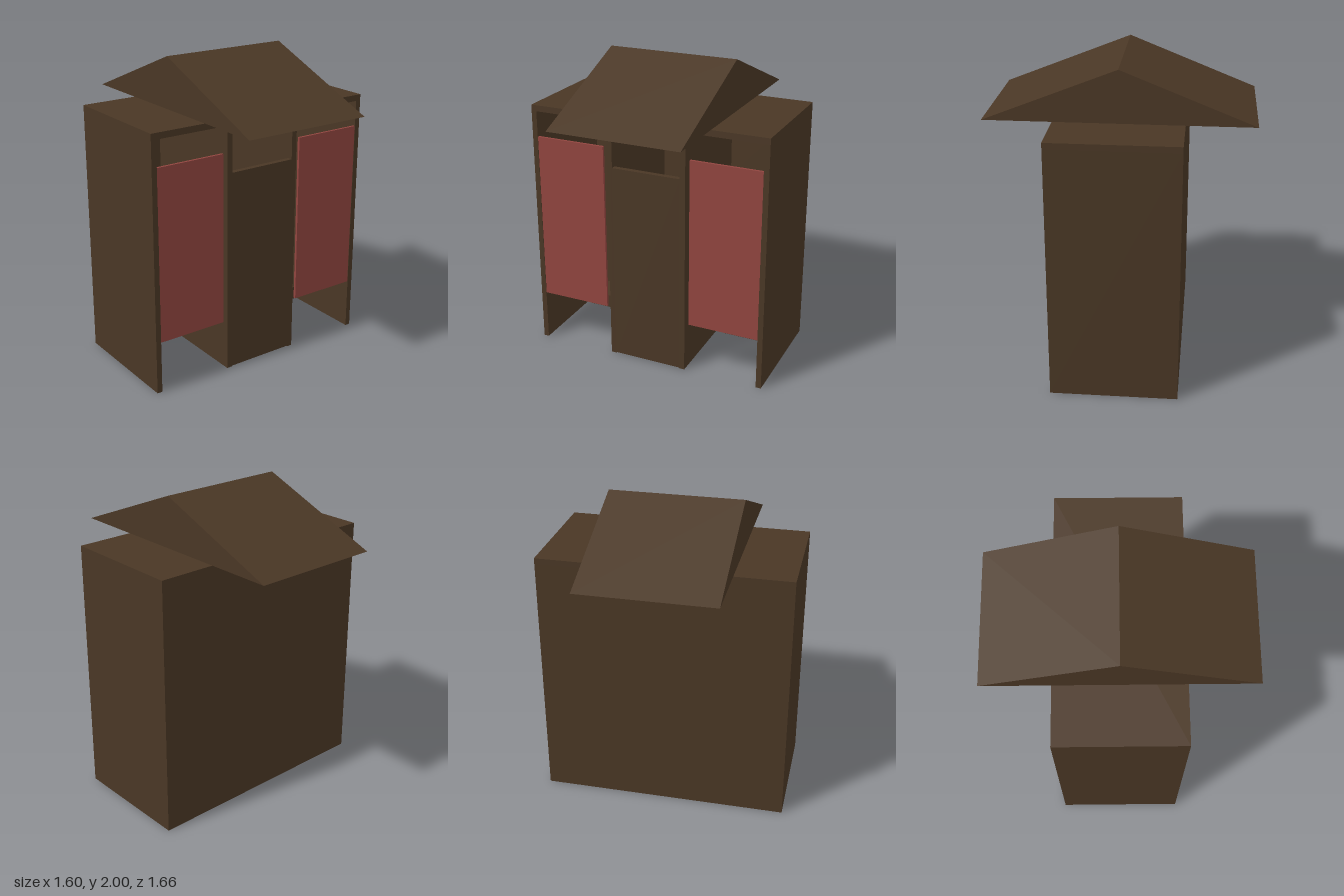
import * as THREE from 'three';

export function createModel() {
  const group = new THREE.Group();
  const wood = new THREE.MeshStandardMaterial({ color: 0x4a3725 });
  wood.name = 'dark wood';
  const cloth = new THREE.MeshStandardMaterial({ color: 0x91453f });
  cloth.name = 'red cloth';

  // Box given by its lower and upper limits on each axis
  function box(name, [x0, x1], [y0, y1], [z0, z1], material = wood) {
    const mesh = new THREE.Mesh(new THREE.BoxGeometry(x1 - x0, y1 - y0, z1 - z0), material);
    mesh.position.set((x0 + x1) / 2, (y0 + y1) / 2, (z0 + z1) / 2);
    mesh.name = name;
    group.add(mesh);
  }
  // Box repeated on both sides of x = 0
  function pair(name, [x0, x1], y, z, material) {
    box(name + 'Left', [x0, x1], y, z, material);
    box(name + 'Right', [-x1, -x0], y, z, material);
  }

  // Cabinet shell, open at the bottom and front
  box('ceiling', [-0.8, 0.8], [1.63, 1.67], [-0.4, 0.4]);
  box('backWall', [-0.765, 0.765], [0, 1.63], [-0.4, -0.365]);
  pair('sideWall', [0.765, 0.8], [0, 1.63], [-0.4, 0.4]);
  pair('divider', [0.232, 0.268], [0, 1.63], [-0.365, 0.4]);

  // Central door with an opening above it
  box('centreDoor', [-0.232, 0.232], [0.005, 1.33], [0.365, 0.4]);

  // Fittings of the two side booths
  pair('dividerScreen', [0.268, 0.282], [0.8, 1.07], [-0.13, 0.13]);
  pair('kneeler', [0.335, 0.73], [0.01, 0.105], [-0.33, -0.13]);
  pair('curtain', [0.295, 0.765], [0.34, 1.46], [0.38, 0.397], cloth);

  // Solid gable roof with its ridge along x
  const gable = new THREE.Shape([
    new THREE.Vector2(-0.83, 1.67),
    new THREE.Vector2(0.83, 1.67),
    new THREE.Vector2(0, 2),
  ]);
  const roofGeometry = new THREE.ExtrudeGeometry(gable, { depth: 0.86, bevelEnabled: false });
  roofGeometry.translate(0, 0, -0.43).rotateY(Math.PI / 2);
  const roof = new THREE.Mesh(roofGeometry, wood);
  roof.name = 'gableRoof';
  group.add(roof);

  return group;
}
